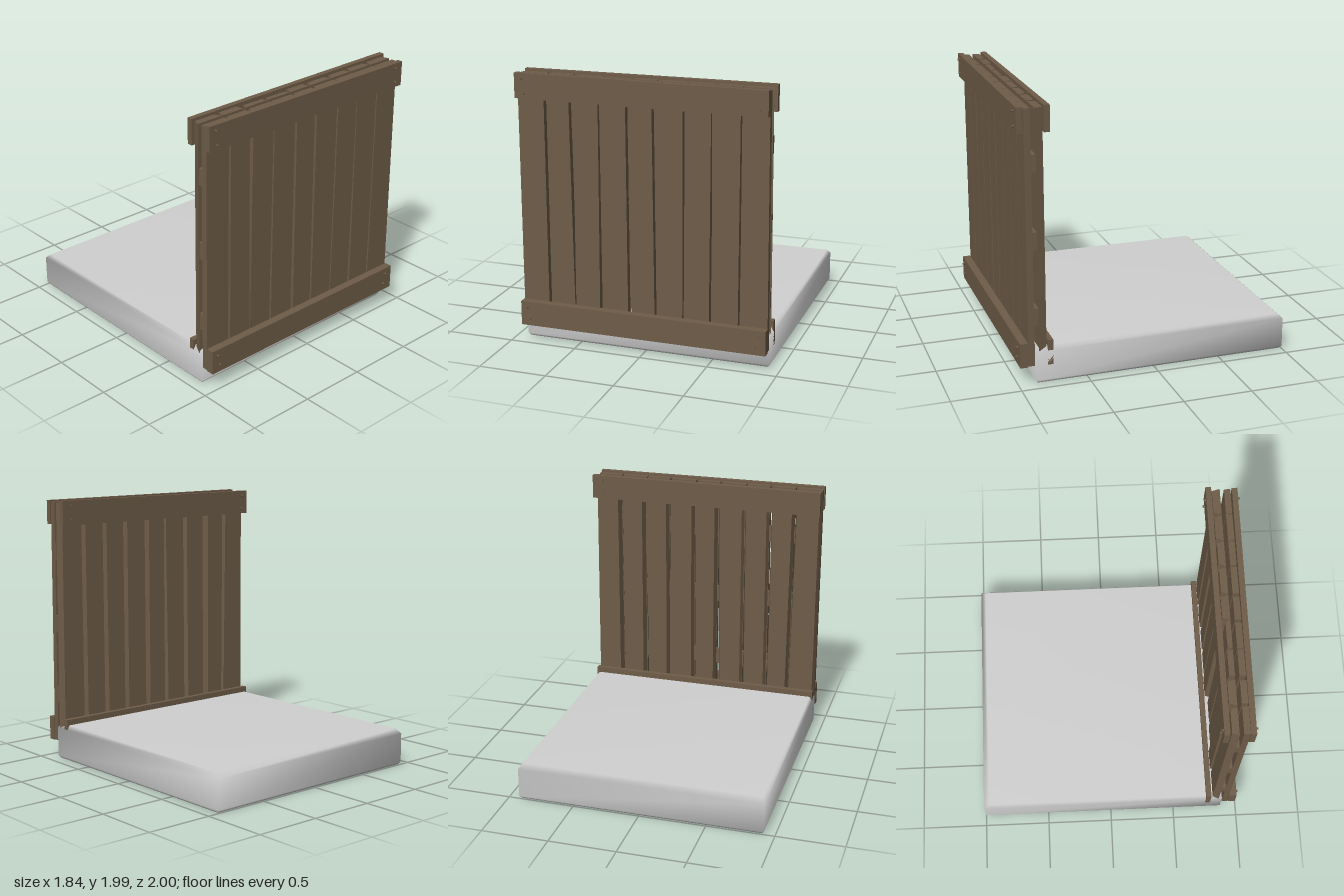
import * as THREE from 'three';

const wood = new THREE.MeshStandardMaterial({ color: 0x6e5c48 });
wood.name = 'brownWood';
const stone = new THREE.MeshStandardMaterial({ color: 0xd0d0d0 });
stone.name = 'paleGrey';

// Upright board: x edges at bottom and top, back face narrowed by `taper`
function plank(name, [bl, br, tl, tr], y0, y1, z0, z1, taper = 0) {
  const g = new THREE.BoxGeometry(1, 1, 1);
  const p = g.attributes.position;
  for (let i = 0; i < p.count; i++) {
    const up = p.getY(i) > 0, right = p.getX(i) > 0, front = p.getZ(i) > 0;
    let x = right ? (up ? tr : br) : (up ? tl : bl);
    if (!front) x += right ? -taper : taper;
    p.setXYZ(i, x, up ? y1 : y0, front ? z1 : z0);
  }
  const flat = g.toNonIndexed();
  flat.computeVertexNormals();
  const m = new THREE.Mesh(flat, wood);
  m.name = name;
  return m;
}

// Horizontal board, with slight tilt and yaw
function beam(name, w, h, d, x, y, z, tilt = 0, yaw = 0) {
  const m = new THREE.Mesh(new THREE.BoxGeometry(w, h, d), wood);
  m.name = name;
  m.position.set(x, y, z);
  m.rotation.set(0, yaw, tilt);
  return m;
}

// Bolt with a wide flange and a small head; dir is +1 for front, -1 for back
function bolt(x, y, z, dir) {
  const b = new THREE.Group();
  b.name = 'bolt';
  for (const [r, len, off] of [[0.012, 0.012, 0], [0.007, 0.022, 0.005]]) {
    const c = new THREE.Mesh(new THREE.CylinderGeometry(r, r, len, 8), wood);
    c.rotation.x = Math.PI / 2;
    c.position.z = off * dir;
    b.add(c);
  }
  b.position.set(x, y, z);
  return b;
}

// Bevelled slab from four stacked rectangles, shared corners for soft shading
function slab() {
  // y, half width, back z, front z
  const rings = [
    [0.0, 0.905, -0.985, 0.86],
    [0.02, 0.92, -1.0, 0.875],
    [0.24, 0.92, -1.0, 0.875],
    [0.275, 0.9, -0.96, 0.84],
  ];
  const pos = [], idx = [];
  for (const [y, w, b, f] of rings) pos.push(-w, y, f, w, y, f, w, y, b, -w, y, b);
  for (let r = 0; r < 3; r++) {
    for (let k = 0; k < 4; k++) {
      const a = r * 4 + k, n = r * 4 + (k + 1) % 4;
      idx.push(a, n, n + 4, a, n + 4, a + 4);
    }
  }
  idx.push(12, 13, 14, 12, 14, 15, 0, 2, 1, 0, 3, 2);
  const g = new THREE.BufferGeometry();
  g.setAttribute('position', new THREE.Float32BufferAttribute(pos, 3));
  g.setIndex(idx);
  g.computeVertexNormals();
  const m = new THREE.Mesh(g, stone);
  m.name = 'baseSlab';
  return m;
}

export function createModel() {
  const model = new THREE.Group();
  model.name = 'fencedSlab';
  model.add(slab());

  const fence = new THREE.Group();
  fence.name = 'fence';
  model.add(fence);

  // Front planks: bottom left, bottom right, top left, top right
  const fronts = [
    [-0.915, -0.72, -0.915, -0.72], [-0.7, -0.515, -0.7, -0.535],
    [-0.51, -0.325, -0.5, -0.315], [-0.305, -0.11, -0.305, -0.115],
    [-0.08, 0.09, -0.095, 0.075], [0.105, 0.295, 0.1, 0.3],
    [0.305, 0.49, 0.315, 0.5], [0.515, 0.7, 0.505, 0.705],
    [0.715, 0.915, 0.715, 0.905],
  ];
  fronts.forEach(e => fence.add(plank('frontPlank', e, 0.135, 1.97, 0.88, 0.925)));

  // Back planks: narrower on the outer face, uneven thickness
  const backs = [
    [-0.92, -0.695, -0.92, -0.72], [-0.695, -0.52, -0.71, -0.525],
    [-0.51, -0.32, -0.505, -0.31], [-0.31, -0.115, -0.305, -0.095],
    [-0.09, 0.09, -0.09, 0.09], [0.1, 0.3, 0.1, 0.3],
    [0.31, 0.495, 0.31, 0.5], [0.51, 0.7, 0.51, 0.7],
    [0.71, 0.92, 0.71, 0.91],
  ];
  const depth = [0.8, 0.795, 0.81, 0.815, 0.795, 0.8, 0.8, 0.795, 0.793];
  backs.forEach((e, i) => fence.add(plank('backPlank', e, 0.135, 1.97, depth[i], 0.85, 0.015)));

  // Rails between the two rows of planks
  for (const y of [0.5, 1.05, 1.595]) {
    fence.add(beam('middleRail', 1.83, 0.125, 0.034, 0, y, 0.865));
  }

  // Top and bottom bands on both sides
  fence.add(beam('frontTopBand', 1.83, 0.18, 0.04, -0.007, 1.893, 0.95, -0.002, -0.006));
  fence.add(beam('frontBottomBand', 1.835, 0.18, 0.058, 0, 0.22, 0.957));
  fence.add(beam('backTopBand', 1.84, 0.185, 0.04, 0, 1.893, 0.768, 0.002));
  fence.add(beam('backBottomBand', 1.84, 0.185, 0.04, 0, 0.225, 0.768));

  // Bolts in pairs at the band ends
  const tops = [[-0.87, 1.945], [-0.855, 1.84], [0.84, 1.945], [0.84, 1.84]];
  const bottoms = [[-0.87, 0.265], [-0.85, 0.185], [0.855, 0.265], [0.835, 0.185]];
  for (const [x, y] of tops) {
    fence.add(bolt(x, y, 0.97 + x * 0.006, 1), bolt(x, y, 0.747, -1));
  }
  for (const [x, y] of bottoms) fence.add(bolt(x, y, 0.985, 1));

  return model;
}
